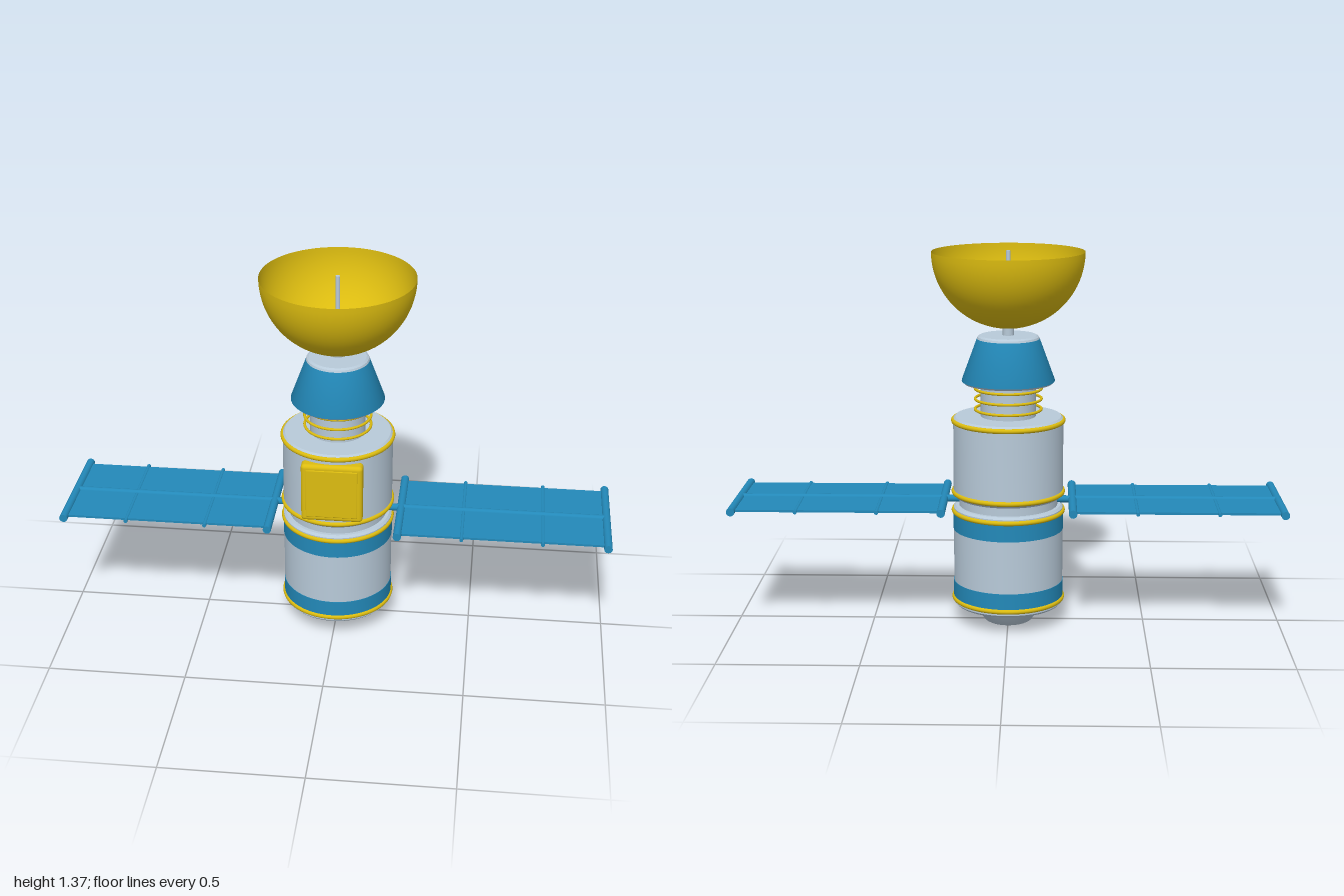
import * as THREE from 'three';
import { toCreasedNormals } from 'three/addons/utils/BufferGeometryUtils.js';
import { RoundedBoxGeometry } from 'three/addons/geometries/RoundedBoxGeometry.js';

export function createModel() {
  const model = new THREE.Group();
  model.name = 'satellite';

  const grey = new THREE.MeshStandardMaterial({ color: 0xb8cad9 });
  const blue = new THREE.MeshStandardMaterial({ color: 0x2389b9 });
  const gold = new THREE.MeshStandardMaterial({ color: 0xdcbc10 });
  const goldShell = new THREE.MeshStandardMaterial({ color: 0xdcbc10, side: THREE.DoubleSide });

  function add(name, geometry, material, x = 0, y = 0, z = 0, parent = model) {
    const mesh = new THREE.Mesh(geometry, material);
    mesh.name = name;
    mesh.position.set(x, y, z);
    parent.add(mesh);
    return mesh;
  }

  // Turned part from [radius, height] pairs, listed bottom to top
  function turned(name, profile, material) {
    const points = profile.map(([r, y]) => new THREE.Vector2(r, y));
    return add(name, toCreasedNormals(new THREE.LatheGeometry(points, 64), 0.5), material);
  }

  function ring(name, radius, tube, y) {
    add(name, new THREE.TorusGeometry(radius, tube, 10, 64).rotateX(Math.PI / 2), gold, 0, y);
  }

  // Rod centred on its position, lying along x or z, or standing along y
  function rod(name, radius, length, axis, material, x, y, z, parent) {
    const geometry = new THREE.CylinderGeometry(radius, radius, length, 16);
    if (axis === 'x') geometry.rotateZ(Math.PI / 2);
    if (axis === 'z') geometry.rotateX(Math.PI / 2);
    return add(name, geometry, material, x, y, z, parent);
  }

  // Hull: nozzle, lower module, waist, upper module and neck
  turned('nozzle', [[0, 0.04], [0.04, 0.04], [0.04, 0.006], [0.046, 0], [0.08, 0], [0.088, 0.005], [0.135, 0.075]], grey);
  turned('lowerModule', [[0, 0.07], [0.192, 0.07], [0.2, 0.078], [0.2, 0.437], [0.192, 0.445], [0, 0.445]], grey);
  turned('waist', [[0.18, 0.44], [0.18, 0.485]], grey);
  turned('upperModule', [[0, 0.478], [0.192, 0.478], [0.2, 0.486], [0.2, 0.767], [0.192, 0.775], [0, 0.775]], grey);
  turned('neck', [[0.1, 0.77], [0.1, 0.905]], grey);

  // Painted bands
  turned('lowerBand', [[0.2, 0.09], [0.2015, 0.09], [0.2015, 0.16], [0.2, 0.16]], blue);
  turned('upperBand', [[0.2, 0.355], [0.2015, 0.355], [0.2015, 0.43], [0.2, 0.43]], blue);

  // Trim rings
  for (const y of [0.093, 0.424, 0.495, 0.76]) ring('hullRing', 0.199, 0.009, y);
  for (const y of [0.8, 0.838, 0.876]) ring('neckRing', 0.12, 0.005, y);

  // Cone with pale end caps
  turned('coneBase', [[0, 0.897], [0.16, 0.897], [0.168, 0.905]], grey);
  turned('cone', [[0.168, 0.904], [0.168, 0.908], [0.113, 1.058]], blue);
  turned('coneTop', [[0.113, 1.058], [0.11, 1.065], [0.102, 1.07], [0, 1.07]], grey);

  // Dish, its mount and feed rod
  rod('dishMount', 0.02, 0.05, 'y', grey, 0, 1.085, 0);
  const bowl = [];
  for (let i = 0; i <= 24; i++) {
    const a = (i / 24) * Math.PI / 2;
    bowl.push(new THREE.Vector2(0.274 * Math.sin(a), 1.37 - 0.274 * Math.cos(a)));
  }
  add('dish', new THREE.LatheGeometry(bowl, 64), goldShell);
  rod('feedRod', 0.008, 0.28, 'y', grey, 0, 1.233, 0);

  // Front equipment box with a raised cover
  add('equipmentBox', new RoundedBoxGeometry(0.22, 0.226, 0.05, 4, 0.014), gold, 0, 0.627, 0.19);
  add('equipmentCover', new RoundedBoxGeometry(0.185, 0.19, 0.01, 2, 0.004), gold, 0, 0.627, 0.212);

  // Solar wings
  for (const side of [1, -1]) {
    const wing = new THREE.Group();
    wing.name = side > 0 ? 'leftWing' : 'rightWing';
    wing.position.y = 0.463;
    model.add(wing);
    add('solarPanel', new THREE.BoxGeometry(0.75, 0.008, 0.384), blue, side * 0.61, 0, 0, wing);
    rod('spar', 0.013, 0.83, 'x', blue, side * 0.575, 0, 0, wing);
    for (const x of [0.235, 0.985]) rod('endRail', 0.015, 0.425, 'z', blue, side * x, 0, 0, wing);
    for (const x of [0.465, 0.755]) rod('rib', 0.007, 0.415, 'z', blue, side * x, 0, 0, wing);
  }

  return model;
}
